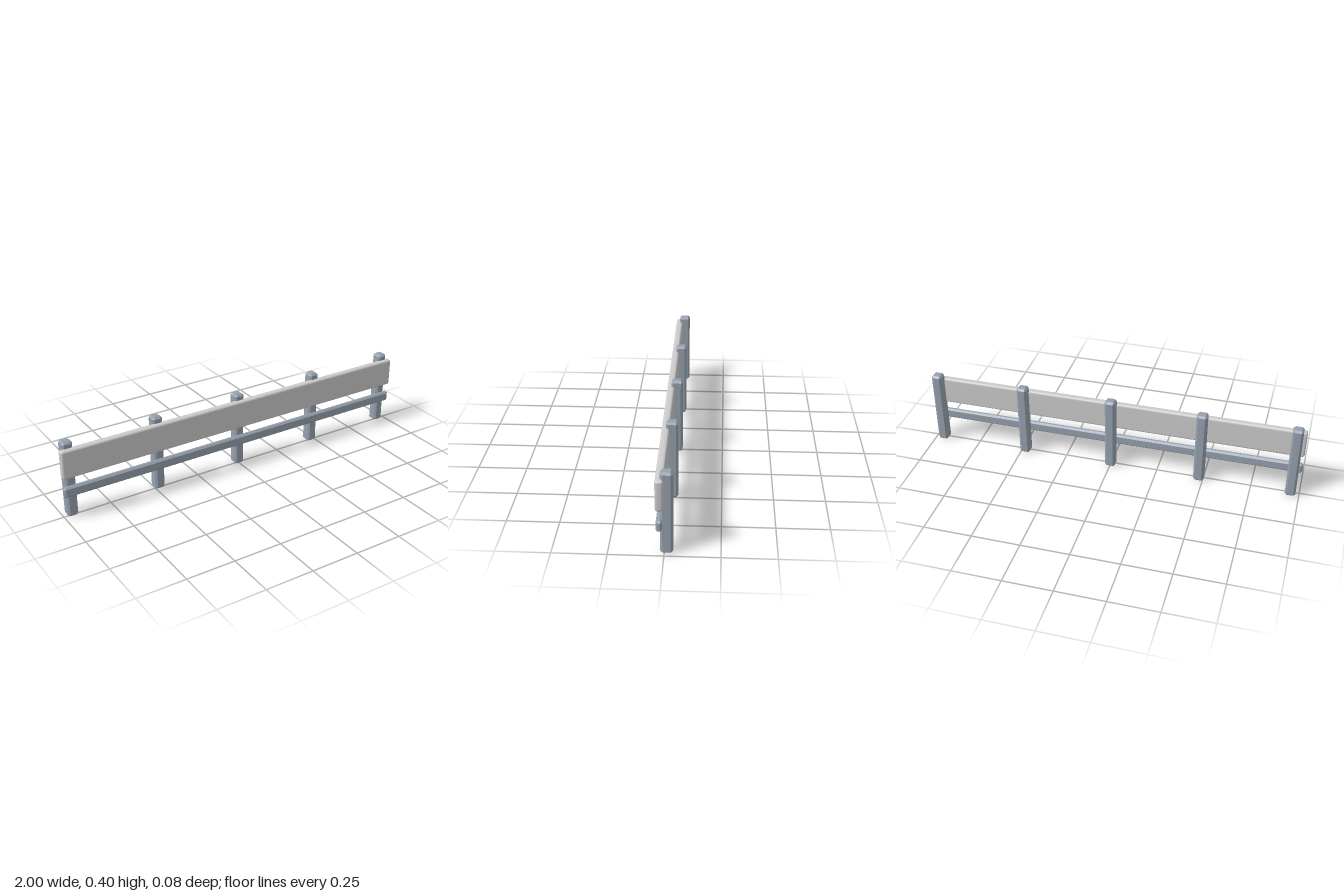
import * as THREE from 'three';
import { mergeVertices } from 'three/addons/utils/BufferGeometryUtils.js';
import { ConvexGeometry } from 'three/addons/geometries/ConvexGeometry.js';
import { RoundedBoxGeometry } from 'three/addons/geometries/RoundedBoxGeometry.js';

// Box with every edge and corner cut by a flat chamfer c
function chamferBox(w, h, d, c) {
  const points = [];
  for (const sx of [-1, 1]) for (const sy of [-1, 1]) for (const sz of [-1, 1]) {
    const x = w / 2, y = h / 2, z = d / 2;
    points.push(
      new THREE.Vector3(sx * x, sy * (y - c), sz * (z - c)),
      new THREE.Vector3(sx * (x - c), sy * y, sz * (z - c)),
      new THREE.Vector3(sx * (x - c), sy * (y - c), sz * z));
  }
  return new ConvexGeometry(points);
}

// Box with soft edges and continuous normals
function softBox(w, h, d, r) {
  const g = new RoundedBoxGeometry(w, h, d, 2, r);
  g.deleteAttribute('normal');
  g.deleteAttribute('uv');
  const merged = mergeVertices(g, 1e-4);
  merged.computeVertexNormals();
  return merged;
}

export function createModel() {
  const group = new THREE.Group();
  group.name = 'barrierFence';
  const steel = new THREE.MeshStandardMaterial({ color: 0x96a1ae, flatShading: true });
  const white = new THREE.MeshStandardMaterial({ color: 0xcccccc });

  const add = (name, geometry, material, x, y, z) => {
    const mesh = new THREE.Mesh(geometry, material);
    mesh.name = name;
    mesh.position.set(x, y, z);
    group.add(mesh);
  };

  // Five evenly spaced posts
  const postGeometry = chamferBox(0.054, 0.404, 0.057, 0.01);
  for (let i = -2; i <= 2; i++) {
    add(`post${i + 3}`, postGeometry, steel, i * 0.4775, 0.202, -0.0105);
  }

  // Wide upper board and thin lower rail on the front of the posts
  add('board', softBox(2, 0.15, 0.037, 0.012), white, 0, 0.298, 0.0215);
  add('lowerRail', chamferBox(1.998, 0.055, 0.028, 0.009), steel, 0, 0.147, 0.022);

  return group;
}
